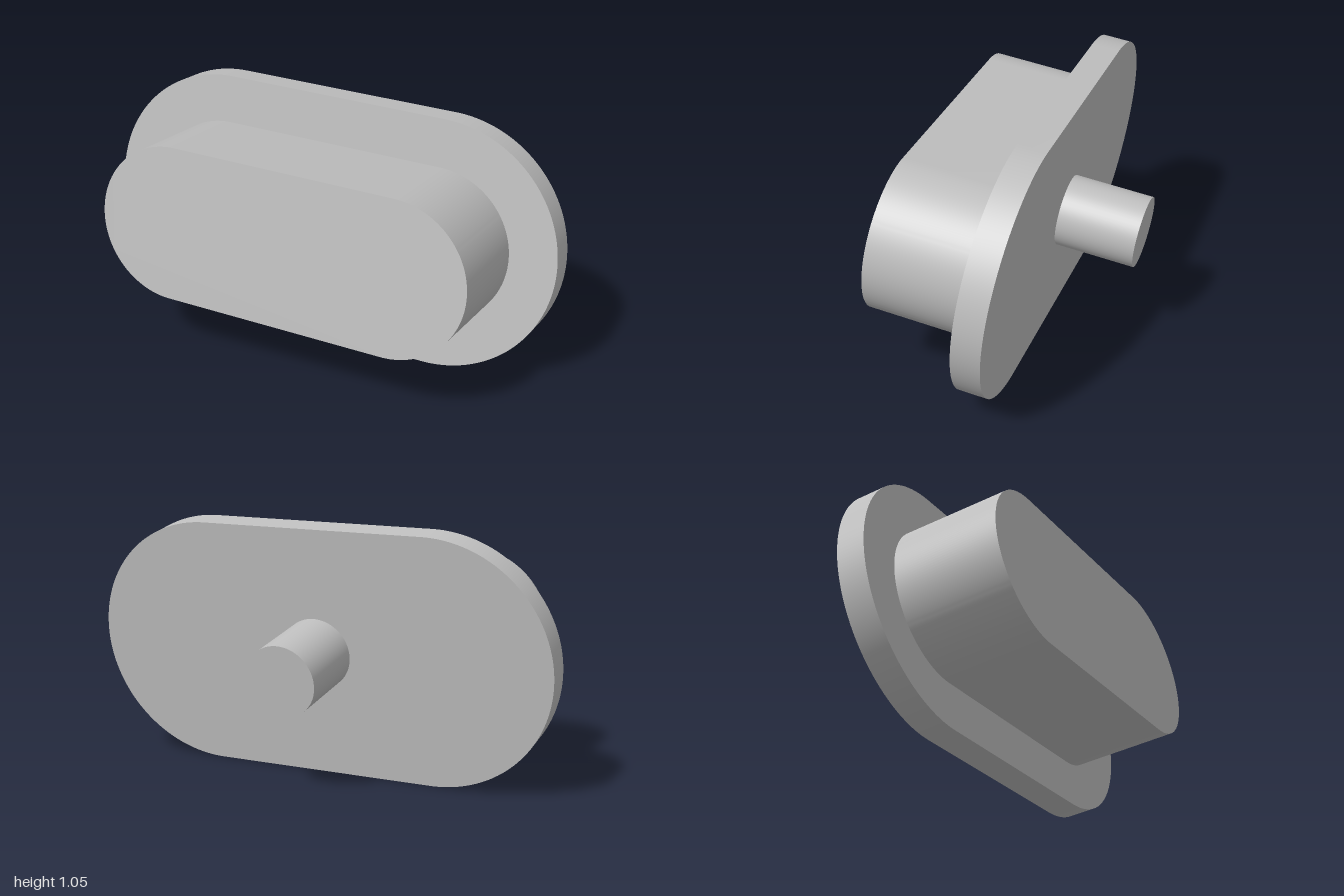
import * as THREE from 'three';
import { toCreasedNormals } from 'three/addons/utils/BufferGeometryUtils.js';

const HALF_STRAIGHT = 0.477;

// Slab with straight long sides and semicircular ends, extruded from z0 along +z
function roundedSlab(name, radius, z0, depth, material) {
  const shape = new THREE.Shape();
  shape.absarc(HALF_STRAIGHT, 0, radius, -Math.PI / 2, Math.PI / 2);
  shape.absarc(-HALF_STRAIGHT, 0, radius, Math.PI / 2, Math.PI * 1.5);
  shape.closePath();
  const extruded = new THREE.ExtrudeGeometry(shape, { depth, bevelEnabled: false, curveSegments: 48 });
  const mesh = new THREE.Mesh(toCreasedNormals(extruded, 0.5), material);
  mesh.name = name;
  mesh.position.z = z0;
  return mesh;
}

export function createModel() {
  const grey = new THREE.MeshStandardMaterial({ color: 0xbfbfbf });
  grey.name = 'plain grey';

  // All parts share one axis, tilted slightly back
  const body = new THREE.Group();
  body.name = 'tiltedBody';
  body.position.set(0, 0.53, -0.066);
  body.rotation.x = -THREE.MathUtils.degToRad(7.97);

  // Flange plate and the thick block in front of it
  body.add(roundedSlab('flangePlate', 0.523, -0.059, 0.118, grey));
  body.add(roundedSlab('frontBlock', 0.324, 0.059, 0.441, grey));

  // Round peg at the back
  const pegLength = 0.331;
  const peg = new THREE.Mesh(new THREE.CylinderGeometry(0.149, 0.149, pegLength, 64), grey);
  peg.name = 'rearPeg';
  peg.rotation.x = Math.PI / 2;
  peg.position.z = -0.059 - pegLength / 2;
  body.add(peg);

  const model = new THREE.Group();
  model.name = 'flangedPlug';
  model.add(body);
  return model;
}
